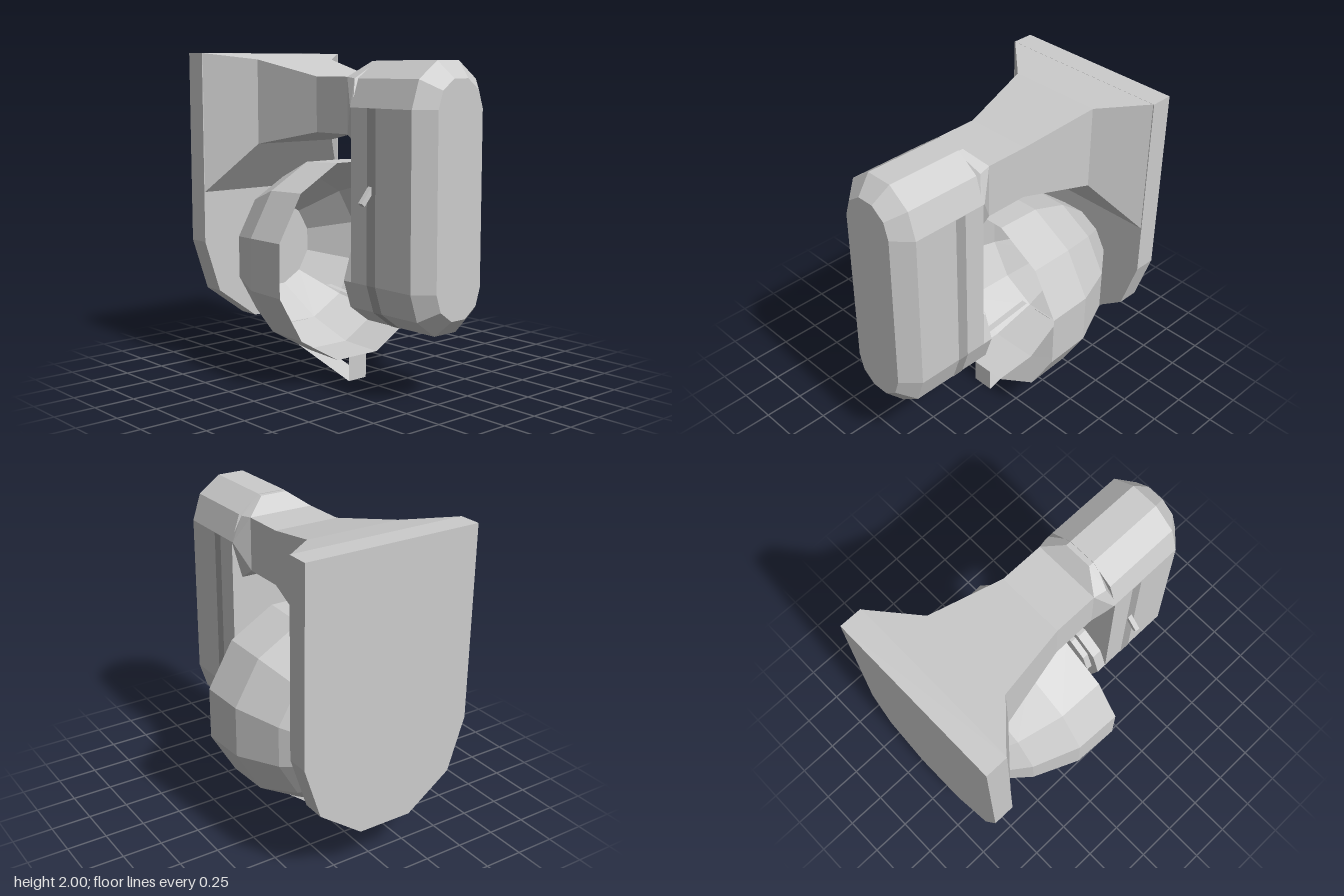
import * as THREE from 'three';
import { ConvexGeometry } from 'three/addons/geometries/ConvexGeometry.js';

const material = (options = {}) =>
  new THREE.MeshStandardMaterial({ color: 0xcccccc, flatShading: true, ...options });
const solid = material();
const thin = material({ side: THREE.DoubleSide });
const dark = material({ color: 0xa6a6a6, side: THREE.DoubleSide });

// Half circle in five segments, counter-clockwise from the start angle
function arc(r, cy, start) {
  const pts = [];
  for (let i = 0; i <= 5; i++) {
    const a = start + (i * Math.PI) / 5;
    pts.push([r * Math.cos(a), cy + r * Math.sin(a)]);
  }
  return pts;
}
const stadium = (r) => [...arc(r, 1.69, 0), ...arc(r, 0.685, Math.PI)];
const rectangle = (hx, y0, y1) => [[-hx, y0], [hx, y0], [hx, y1], [-hx, y1]];

function fromTriangles(positions) {
  const g = new THREE.BufferGeometry();
  g.setAttribute('position', new THREE.Float32BufferAttribute(positions, 3));
  g.computeVertexNormals();
  return g;
}

// Closed loft through convex sections [z, outline], ordered back to front
function loft(sections) {
  const pos = [];
  const rings = sections.map(([z, outline]) => outline.map(([x, y]) => [x, y, z]));
  const n = rings[0].length;
  for (let s = 0; s < rings.length - 1; s++) {
    for (let i = 0; i < n; i++) {
      const j = (i + 1) % n;
      const [a, b, c, d] = [rings[s][i], rings[s][j], rings[s + 1][j], rings[s + 1][i]];
      pos.push(...a, ...b, ...c, ...a, ...c, ...d);
    }
  }
  const back = rings[0], front = rings[rings.length - 1];
  for (let i = 1; i < n - 1; i++) {
    pos.push(...back[0], ...back[i + 1], ...back[i]);
    pos.push(...front[0], ...front[i], ...front[i + 1]);
  }
  return fromTriangles(pos);
}

// Thin sheet swept from a path along a width vector
function sheet(path, width) {
  const pos = [];
  const shift = (p) => p.map((v, i) => v + width[i]);
  for (let i = 0; i < path.length - 1; i++) {
    const a = path[i], b = path[i + 1];
    pos.push(...a, ...b, ...shift(b), ...a, ...shift(b), ...shift(a));
  }
  return fromTriangles(pos);
}

// Ten-sided disc facing z, with corners on the x axis
function disc(r, z0, z1) {
  return new THREE.CylinderGeometry(r, r, z1 - z0, 10, 1, false, Math.PI / 2)
    .rotateX(Math.PI / 2)
    .translate(0, 0.685, (z0 + z1) / 2);
}

export function createModel() {
  const model = new THREE.Group();
  model.name = 'wallBell';
  const add = (name, geometry, mat = solid) => {
    const mesh = new THREE.Mesh(geometry, mat);
    mesh.name = name;
    model.add(mesh);
    return mesh;
  };

  // Wall plate with a rounded bottom
  const plate = [[0.555, 2], [-0.555, 2], ...arc(0.555, 0.82, Math.PI)];
  add('wallPlate', loft([[-0.9, plate], [-0.76, plate]]));

  // Arm flaring out toward the wall plate
  add('arm', loft([
    [-0.765, rectangle(0.555, 1.13, 2)],
    [-0.53, rectangle(0.3, 1.44, 1.96)],
    [-0.07, rectangle(0.21, 1.53, 1.86)],
    [0.21, rectangle(0.21, 1.53, 1.86)],
  ]));

  // Tapered neck between arm and housing
  const neck = [];
  for (const s of [-1, 1]) {
    neck.push(
      [s * 0.21, 1.53, 0.205], [s * 0.21, 1.86, 0.205],
      [s * 0.087, 1.95, 0.285], [s * 0.224, 1.852, 0.285],
      [s * 0.277, 1.69, 0.305], [s * 0.21, 1.45, 0.32],
      [s * 0.087, 1.95, 0.33], [s * 0.277, 1.69, 0.33],
    );
  }
  add('neck', new ConvexGeometry(neck.map((p) => new THREE.Vector3(...p))));

  // Upright housing with a bevelled front
  add('housing', loft([
    [0.315, stadium(0.277)],
    [0.8, stadium(0.277)],
    [0.9, stadium(0.175)],
  ]));

  // Darker band down the sides and under the housing
  const band = [[-0.28, 1.69], ...arc(0.28, 0.685, Math.PI), [0.28, 1.69]];
  add('housingBand', sheet(band.map(([x, y]) => [x, y, 0.45]), [0, 0, 0.07]), dark);

  // Small switch lever on the right side
  const lever = add('switchLever', new THREE.BoxGeometry(0.12, 0.03, 0.03));
  lever.position.set(-0.305, 1.2, 0.475);
  lever.rotation.z = 0.87;

  // Stepped discs behind the housing
  add('motorCover', disc(0.277, 0.25, 0.33));
  add('motorCap', disc(0.22, 0.21, 0.26));

  // Thin striker reaching into the gong
  add('striker', sheet([[0.03, 0.48, 0.22], [0.03, 0.54, -0.27]], [0.04, 0, 0]), thin);

  // Hollow twelve-sided gong opening to the front
  const profile = [[0.285, -0.76], [0.49, -0.51], [0.61, -0.23], [0.622, 0.06]]
    .map(([r, z]) => new THREE.Vector2(r, z));
  add('gong',
    new THREE.LatheGeometry(profile, 12, Math.PI / 12)
      .rotateX(Math.PI / 2)
      .translate(0, 0.75, 0),
    thin);

  // Bent strip under the gong
  add('lowerStrip',
    sheet([[-0.07, 0.15, 0.06], [-0.07, 0, 0.06], [-0.07, 0.155, -0.5], [-0.07, 0.275, -0.5]],
      [0.14, 0, 0]),
    thin);

  return model;
}
